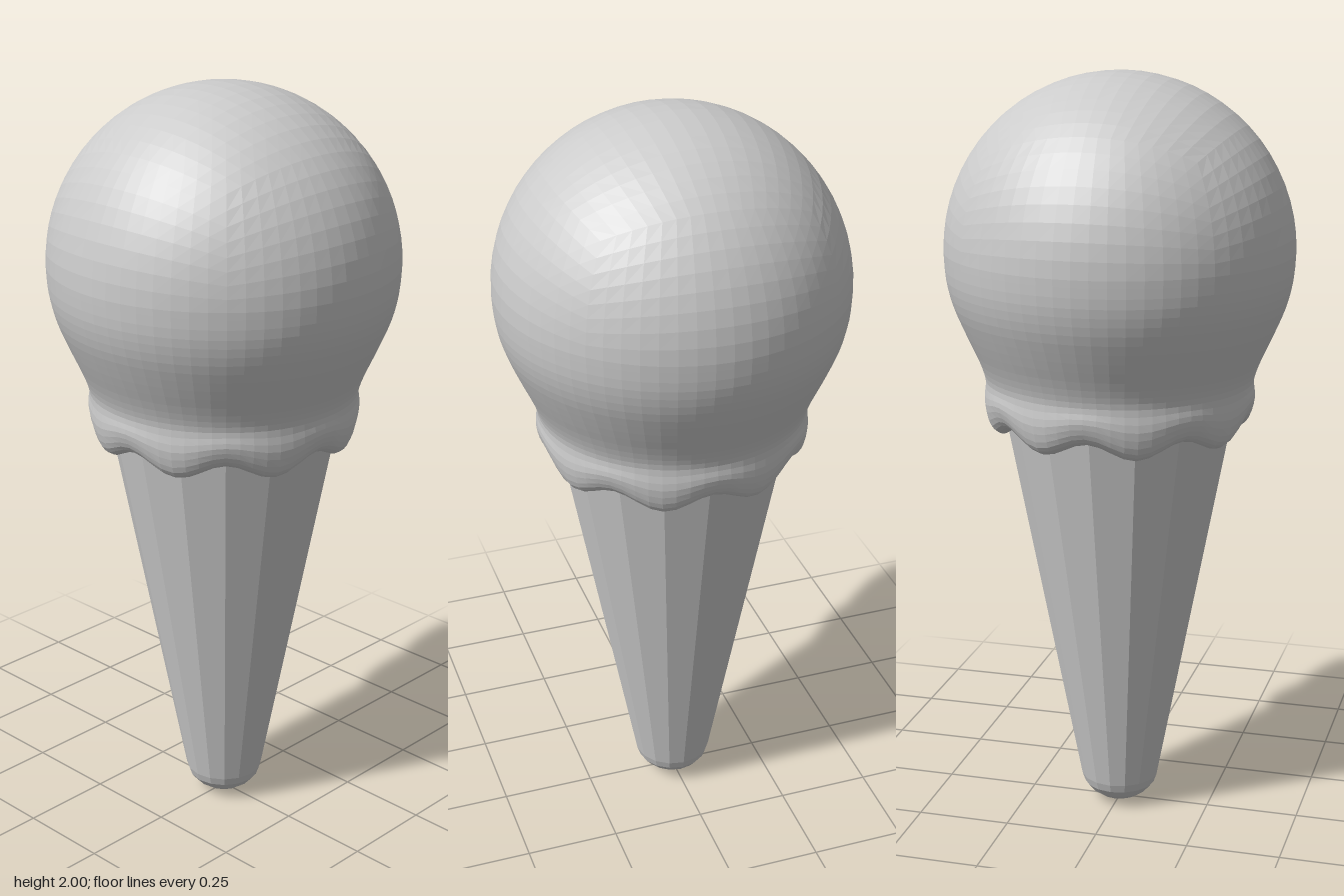
import * as THREE from 'three';
import { mergeGeometries } from 'three/addons/utils/BufferGeometryUtils.js';

const material = new THREE.MeshStandardMaterial({ color: 0xcccccc, flatShading: true });
const points = (list) => list.map(([x, y]) => new THREE.Vector2(x, y));
const RADIUS = 0.455;
const CENTRE_Y = 1.545;

// Move every vertex of a geometry by a rule
function reshape(geometry, rule) {
  const position = geometry.attributes.position;
  const v = new THREE.Vector3();
  for (let i = 0; i < position.count; i++) {
    rule(v.fromBufferAttribute(position, i));
    position.setXYZ(i, v.x, v.y, v.z);
  }
  geometry.computeVertexNormals();
  return geometry;
}

// Upper half of the scoop: a half box swelled into a dome
function domeGeometry() {
  const box = new THREE.BoxGeometry(2, 1, 2, 16, 8, 16).translate(0, 0.5, 0);
  // leave out the hidden bottom face
  const bottom = box.groups[3];
  const index = Array.from(box.index.array);
  index.splice(bottom.start, bottom.count);
  box.setIndex(index);
  box.clearGroups();
  const even = (t) => Math.tan((t * Math.PI) / 4);
  return reshape(box, (v) => {
    v.set(even(v.x), even(v.y), even(v.z)).setLength(RADIUS);
    v.y += CENTRE_Y;
  });
}

// Lower half of the scoop, narrowing to a rolled lip with eight drips
function skirtGeometry() {
  const profile = new THREE.SplineCurve(points([
    [0.25, 1.13], [0.285, 1.095], [0.315, 1.083], [0.342, 1.105],
    [0.356, 1.155], [0.353, 1.205], [0.368, 1.255], [0.402, 1.33],
    [0.433, 1.405], [0.45, 1.475], [RADIUS, CENTRE_Y],
  ])).getPoints(30);
  return reshape(new THREE.LatheGeometry(profile, 64), (v) => {
    const weight = 1 - THREE.MathUtils.smoothstep(v.y, 1.09, 1.22);
    v.y += 0.02 * weight * Math.cos(8 * Math.atan2(v.x, v.z));
  });
}

export function createModel() {
  const group = new THREE.Group();

  // Sixteen-sided cone with a rounded tip
  const coneProfile = points([
    [0, 0], [0.03, 0.004], [0.058, 0.015], [0.081, 0.032],
    [0.097, 0.052], [0.105, 0.075], [0.32, 1.2], [0, 1.2],
  ]);
  const cone = new THREE.Mesh(new THREE.LatheGeometry(coneProfile, 16), material);
  cone.name = 'cone';

  const scoop = new THREE.Mesh(mergeGeometries([domeGeometry(), skirtGeometry()]), material);
  scoop.name = 'scoop';

  group.add(cone, scoop);
  return group;
}
